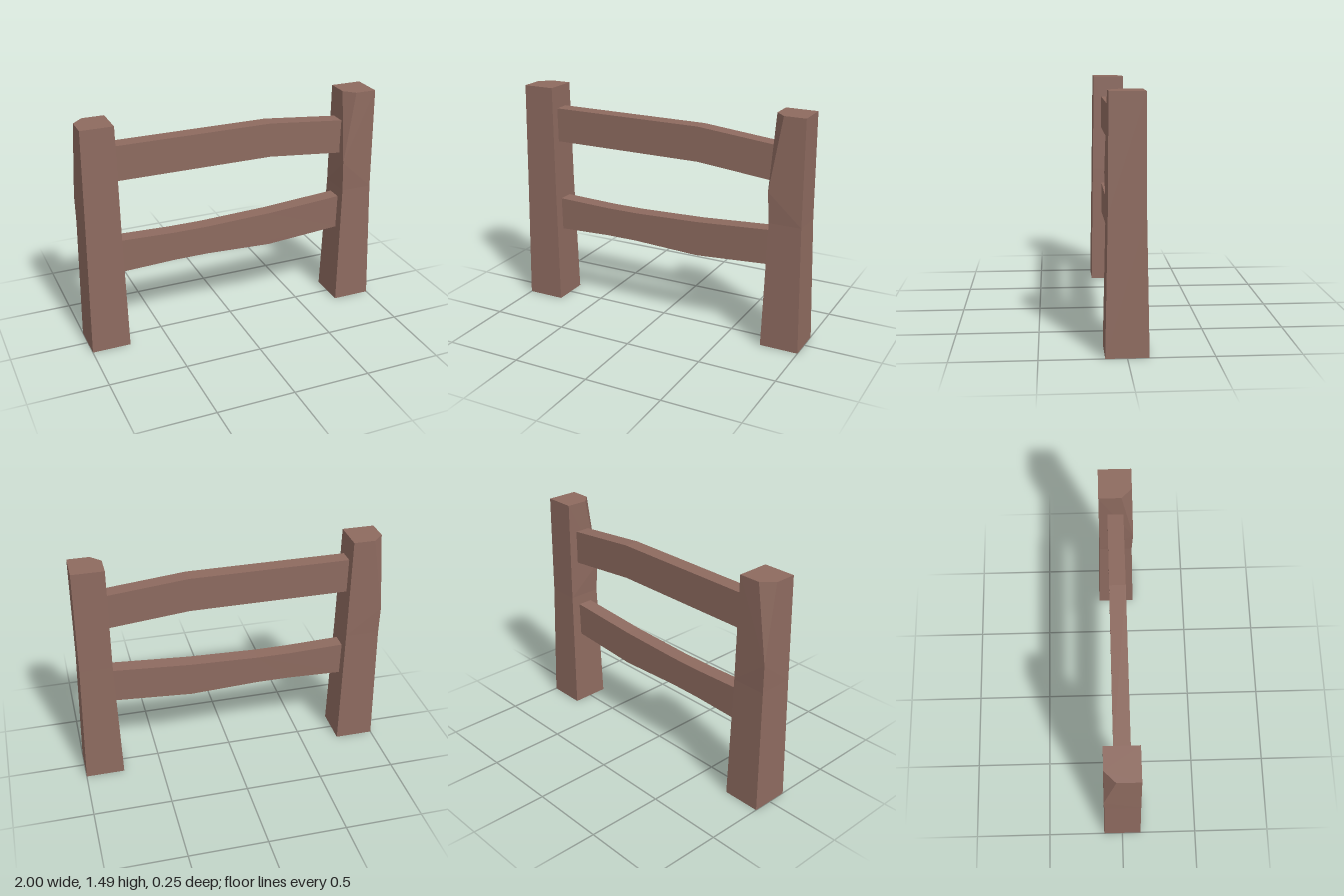
import * as THREE from 'three';

const wood = new THREE.MeshStandardMaterial({ color: 0x8d6a5f, flatShading: true });

// Tapered square post with one upper corner chopped off by a triangular cut.
// Each level is [y, x0, x1, z0, z1]; the cut sits at (x0, z1), or at (x0, z0) when flipped.
function makePost(name, levels, apex, cut, flip) {
  const s = flip ? -1 : 1;
  const [lo, mid, top] = levels.map(([y, x0, x1, z0, z1]) =>
    [[x0, y, z1], [x1, y, z1], [x1, y, z0], [x0, y, z0]]);
  const cutFront = [top[0][0] + cut, top[0][1], top[0][2]];
  const cutSide = [top[0][0], top[0][1], top[0][2] - cut];
  const position = [];
  const face = (...pts) => {
    for (let i = 1; i < pts.length - 1; i++) {
      const tri = [pts[0], pts[i], pts[i + 1]];
      if (flip) tri.reverse();
      tri.forEach(([x, y, z]) => position.push(x, y, z * s));
    }
  };

  // Lower half and underside
  for (let i = 0; i < 4; i++) {
    const j = (i + 1) % 4;
    face(lo[i], lo[j], mid[j], mid[i]);
  }
  face(lo[0], lo[3], lo[2], lo[1]);

  // Upper half: two plain sides, two sides meeting the cut, the cut and the top
  face(mid[1], mid[2], top[2], top[1]);
  face(mid[2], mid[3], top[3], top[2]);
  face(apex, mid[0], mid[1], top[1], cutFront);
  face(apex, cutSide, top[3], mid[3], mid[0]);
  face(apex, cutFront, cutSide);
  face(cutFront, top[1], top[2], top[3], cutSide);

  const geometry = new THREE.BufferGeometry();
  geometry.setAttribute('position', new THREE.Float32BufferAttribute(position, 3));
  geometry.computeVertexNormals();
  const mesh = new THREE.Mesh(geometry, wood);
  mesh.name = name;
  return mesh;
}

// Bent plank: stations of [x, bottom, top], extruded through its thickness
function makeRail(name, stations) {
  const upper = stations.map(([x, , t]) => new THREE.Vector2(x, t)).reverse();
  const lower = stations.map(([x, b]) => new THREE.Vector2(x, b));
  const geometry = new THREE.ExtrudeGeometry(new THREE.Shape([...lower, ...upper]),
    { depth: 0.1, bevelEnabled: false });
  geometry.translate(0, 0, -0.05);
  const mesh = new THREE.Mesh(geometry, wood);
  mesh.name = name;
  return mesh;
}

export function createModel() {
  const group = new THREE.Group();
  group.name = 'fence';

  group.add(makePost('leftPost', [
    [0, 0.75, 1, -0.125, 0.125],
    [0.82, 0.77, 0.977, -0.108, 0.108],
    [1.49, 0.77, 0.973, -0.103, 0.103],
  ], [0.76, 1.02, 0.115], 0.065, false));

  group.add(makePost('rightPost', [
    [0, -1, -0.75, -0.125, 0.125],
    [0.82, -0.988, -0.765, -0.112, 0.112],
    [1.49, -0.98, -0.772, -0.103, 0.108],
  ], [-0.99, 1.0, 0.115], 0.07, true));

  group.add(makeRail('topRail', [
    [-0.775, 1.12, 1.345], [0.26, 1.12, 1.345], [0.775, 1.07, 1.295],
  ]));
  group.add(makeRail('lowerRail', [
    [-0.775, 0.497, 0.717], [-0.4, 0.511, 0.705], [-0.18, 0.511, 0.705],
    [0.26, 0.492, 0.72], [0.775, 0.528, 0.755],
  ]));
  return group;
}
